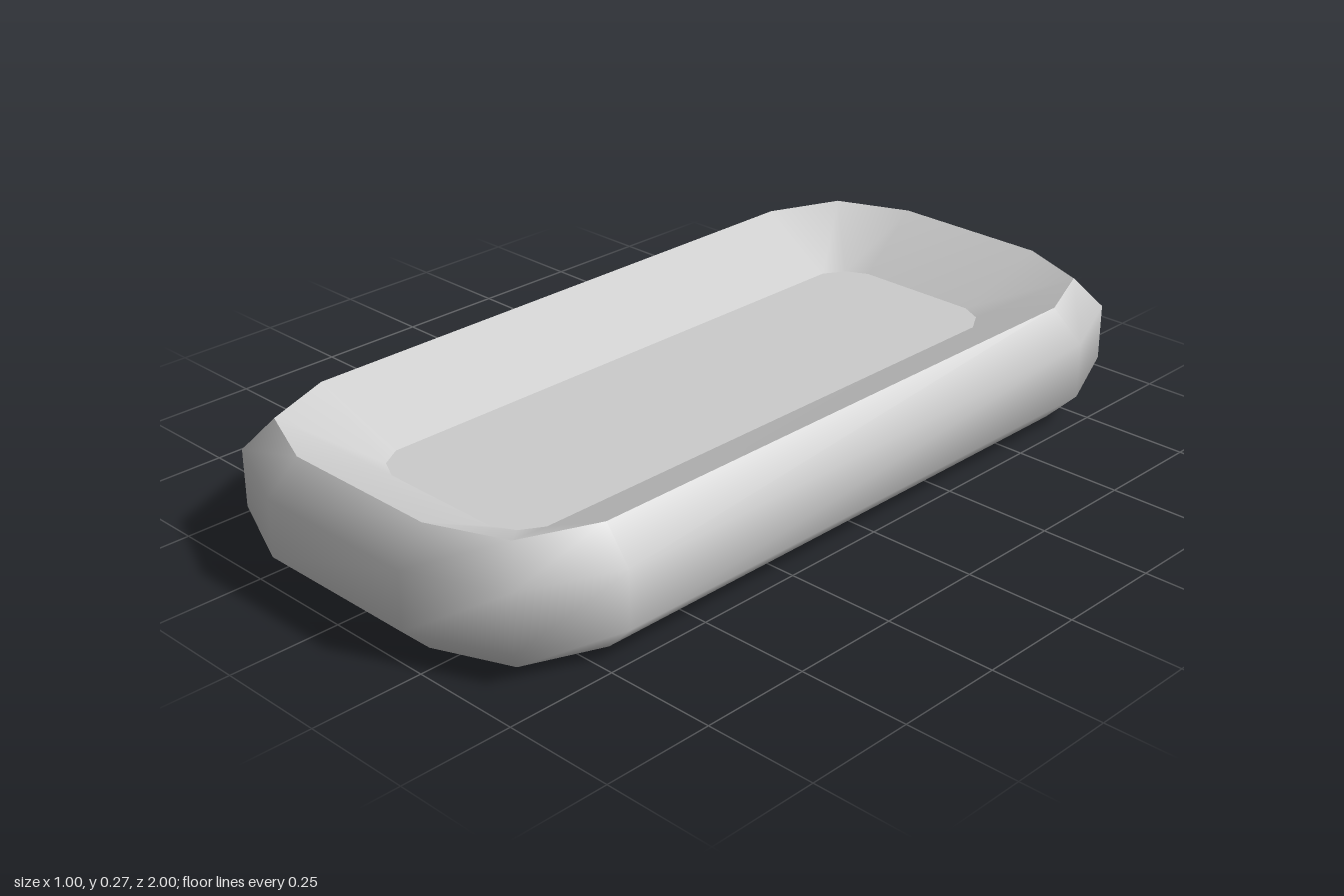
import * as THREE from 'three';

// Twelve-sided ring: three corner points [x, z], mirrored into all four quadrants.
function ring(y, corner) {
  const back = [...corner].reverse();
  return [
    ...corner.map(([x, z]) => [x, y, z]),
    ...back.map(([x, z]) => [-x, y, z]),
    ...corner.map(([x, z]) => [-x, y, -z]),
    ...back.map(([x, z]) => [x, y, -z]),
  ];
}

// Smooth surface joining a list of rings, in order.
function loft(name, rings, material) {
  const n = rings[0].length;
  const index = [];
  for (let r = 0; r < rings.length - 1; r++) {
    for (let i = 0; i < n; i++) {
      const j = (i + 1) % n;
      const a = r * n + i, b = r * n + j, c = a + n, d = b + n;
      index.push(a, c, b, b, c, d);
    }
  }
  const geometry = new THREE.BufferGeometry();
  geometry.setAttribute('position', new THREE.Float32BufferAttribute(rings.flat(2), 3));
  geometry.setIndex(index);
  geometry.computeVertexNormals();
  const mesh = new THREE.Mesh(geometry, material);
  mesh.name = name;
  return mesh;
}

export function createModel() {
  const grey = new THREE.MeshStandardMaterial({ color: 0xcccccc });
  grey.name = 'light grey';

  const wide = [[0.5, 0.7], [0.41, 0.91], [0.2, 1]];
  const rim = [[0.43, 0.69], [0.36, 0.86], [0.19, 0.93]];
  const inner = [[0.23, 0.66], [0.2, 0.71], [0.15, 0.735]];
  const centre = [[0, 0], [0, 0], [0, 0]];
  const top = 0.27, floor = 0.17;

  const tray = new THREE.Group();
  tray.name = 'tray';
  tray.add(
    // bevelled outer shell
    loft('outerWall', [ring(0, rim), ring(0.07, wide), ring(0.2, wide), ring(top, rim)], grey),
    // sloping sides of the hollow
    loft('innerWall', [ring(top, rim), ring(floor, inner)], grey),
    // flat floor of the hollow and flat underside
    loft('floor', [ring(floor, inner), ring(floor, centre)], grey),
    loft('underside', [ring(0, centre), ring(0, rim)], grey),
  );
  return tray;
}
